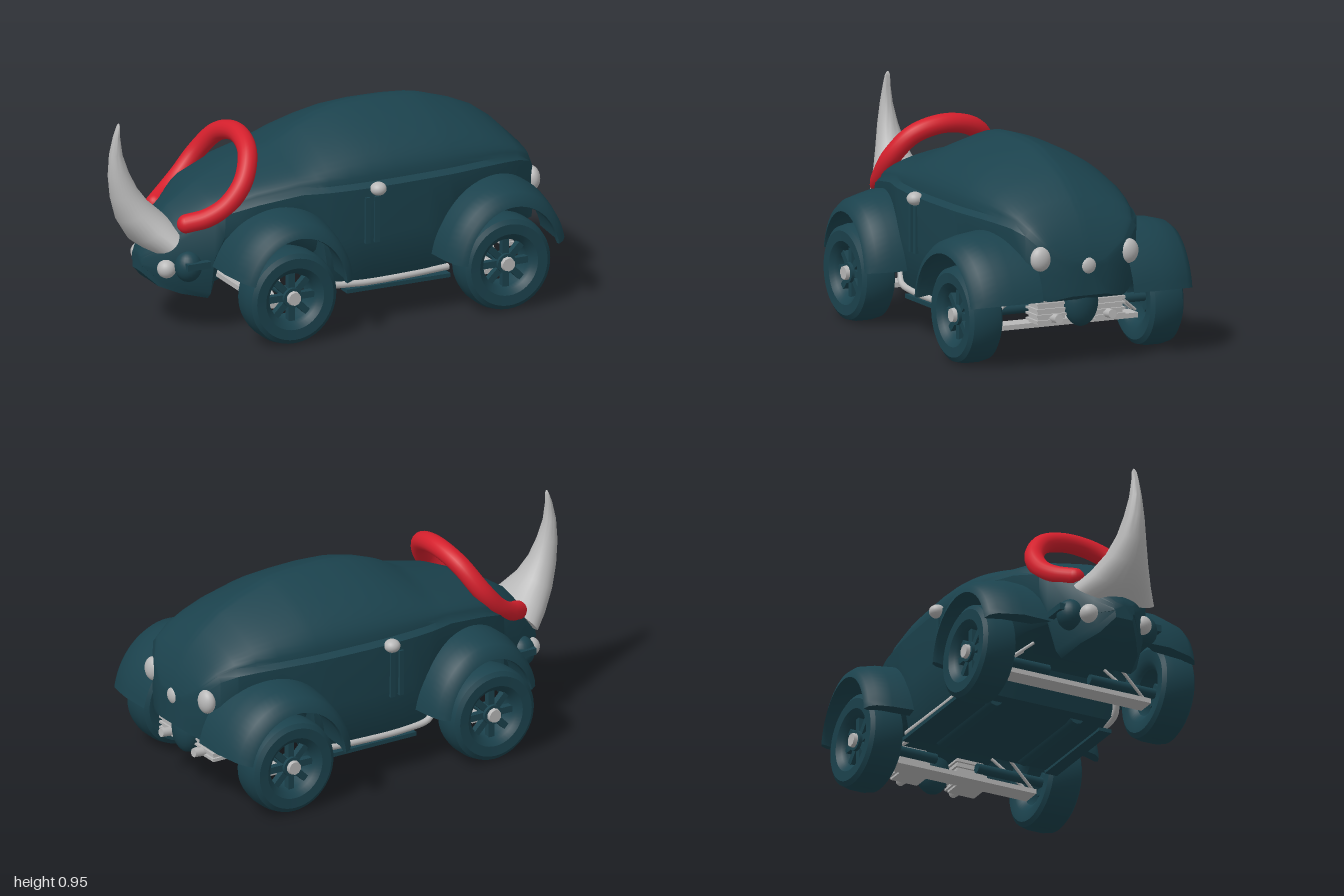
import * as THREE from 'three';
import { toCreasedNormals } from 'three/addons/utils/BufferGeometryUtils.js';

const teal = new THREE.MeshStandardMaterial({ color: 0x1b424d, side: THREE.DoubleSide });
teal.name = 'dark teal';
const grey = new THREE.MeshStandardMaterial({ color: 0xb8b8b8, side: THREE.DoubleSide });
grey.name = 'light grey';
const red = new THREE.MeshStandardMaterial({ color: 0xd41f2c });
red.name = 'red';

const V = (x, y, z) => new THREE.Vector3(x, y, z);

function add(parent, name, geo, mat, x = 0, y = 0, z = 0) {
  const m = new THREE.Mesh(geo, mat);
  m.name = name;
  m.position.set(x, y, z);
  parent.add(m);
  return m;
}

// Skins closed rings of points and closes both ends to their centres
function loft(rings, crease = 0.7) {
  const n = rings[0].length;
  const cap = (r) => {
    const c = V(0, 0, 0);
    r.forEach((p) => c.addScaledVector(p, 1 / n));
    return r.map(() => c);
  };
  const all = [cap(rings[0]), ...rings, cap(rings[rings.length - 1])];
  const idx = [];
  for (let i = 0; i < all.length - 1; i++) for (let j = 0; j < n; j++) {
    const a = i * n + j, b = i * n + (j + 1) % n;
    if (i > 0) idx.push(a, b, a + n);
    if (i < all.length - 2) idx.push(b, b + n, a + n);
  }
  const g = new THREE.BufferGeometry().setFromPoints(all.flat());
  g.setIndex(idx);
  return toCreasedNormals(g, crease);
}

function tube(points, r, seg = 40, sides = 14) {
  return new THREE.TubeGeometry(new THREE.CatmullRomCurve3(points), seg, r, sides);
}

function rod(parent, name, a, b, r, mat) {
  const d = b.clone().sub(a);
  const m = add(parent, name, new THREE.CylinderGeometry(r, r, d.length(), 12), mat);
  m.position.copy(a).addScaledVector(d, 0.5);
  m.quaternion.setFromUnitVectors(V(0, 1, 0), d.normalize());
}

// Body stations: x, roof height, belt height, belt half width, floor height, floor half width
const STATIONS = [
  [-0.86, 0.36, 0.33, 0.05, 0.27, 0.04], [-0.80, 0.46, 0.38, 0.12, 0.21, 0.09],
  [-0.72, 0.55, 0.46, 0.18, 0.18, 0.14], [-0.60, 0.63, 0.55, 0.24, 0.15, 0.17],
  [-0.56, 0.65, 0.57, 0.26, 0.33, 0.20], [-0.42, 0.71, 0.61, 0.31, 0.34, 0.24],
  [-0.23, 0.75, 0.64, 0.35, 0.34, 0.26], [-0.15, 0.79, 0.64, 0.37, 0.32, 0.28],
  [-0.10, 0.82, 0.64, 0.38, 0.17, 0.33], [0.00, 0.86, 0.64, 0.39, 0.16, 0.34],
  [0.10, 0.885, 0.64, 0.395, 0.16, 0.34], [0.22, 0.895, 0.64, 0.395, 0.16, 0.34],
  [0.36, 0.893, 0.64, 0.39, 0.16, 0.34], [0.46, 0.885, 0.64, 0.385, 0.16, 0.33],
  [0.51, 0.875, 0.64, 0.38, 0.32, 0.30], [0.65, 0.83, 0.64, 0.36, 0.34, 0.26],
  [0.75, 0.785, 0.635, 0.335, 0.34, 0.25], [0.84, 0.72, 0.625, 0.305, 0.32, 0.24],
  [0.91, 0.65, 0.60, 0.27, 0.30, 0.23], [0.96, 0.55, 0.53, 0.20, 0.29, 0.18],
  [0.99, 0.47, 0.46, 0.09, 0.31, 0.08],
];

function bodyRing([x, roof, belt, w, floor, fw]) {
  const ring = [];
  for (let i = 0; i <= 28; i++) {
    const a = (i / 28) * Math.PI, c = Math.cos(a);
    const z = 0.93 * w * Math.sign(c) * Math.abs(c) ** 1.65;
    ring.push(V(x, belt + (roof - belt) * Math.sin(a), z));
  }
  const mid = floor + (belt - floor) * 0.5;
  const side = [[w, belt - 0.02], [w * 0.99, mid], [fw + (w - fw) * 0.4, floor + 0.03], [fw, floor], [fw * 0.4, floor]];
  side.forEach(([z, y]) => ring.push(V(x, y, -z)));
  side.reverse().forEach(([z, y]) => ring.push(V(x, y, z)));
  return ring;
}

// Arched mudguard shell swept around the wheel axis between two angles;
// shift and toe move the outer lip
function fenderGeometry(rx, ry, shift, toe, from, to, s) {
  const profile = [[0.22, 1.0], [0.36, 1.01], [0.46, 0.975], [0.53, 0.92], [0.56, 0.85],
    [0.572, 0.76], [0.555, 0.75], [0.5, 0.81], [0.3, 0.85]];
  const rings = [];
  for (let i = 0; i <= 28; i++) {
    const a = from + (i / 28) * (to - from);
    rings.push(profile.map(([z, k]) => {
      const x = rx * k * Math.cos(a);
      return V(x, ry * k * Math.sin(a), s * (z + (z > 0.4 ? shift + toe * x : 0)));
    }));
  }
  return loft(rings, 0.8);
}

function makeWheel() {
  const wheel = new THREE.Group();
  wheel.name = 'wheel';
  const profile = [[0.112, -0.06], [0.14, -0.078], [0.185, -0.08], [0.205, -0.066], [0.213, -0.03],
    [0.213, 0.03], [0.205, 0.066], [0.185, 0.08], [0.14, 0.078], [0.118, 0.06], [0.106, 0.04],
    [0.104, -0.05], [0.112, -0.06]].map(([r, y]) => new THREE.Vector2(r, y));
  add(wheel, 'tyre', toCreasedNormals(new THREE.LatheGeometry(profile, 48).rotateX(Math.PI / 2), 0.6), teal);
  for (let i = 0; i < 8; i++) {
    const spoke = new THREE.BoxGeometry(0.075, 0.03, 0.03).translate(0.073, 0, 0.03);
    add(wheel, 'spoke', spoke.rotateZ((i * Math.PI) / 4), teal);
  }
  add(wheel, 'hub', new THREE.CylinderGeometry(0.045, 0.045, 0.06, 24).rotateX(Math.PI / 2), teal, 0, 0, 0.03);
  add(wheel, 'hubCap', new THREE.CylinderGeometry(0.03, 0.033, 0.02, 10).rotateX(Math.PI / 2), grey, 0, 0, 0.068);
  return wheel;
}

function ball(parent, name, mat, pos, size) {
  add(parent, name, new THREE.SphereGeometry(1, 24, 16), mat, ...pos).scale.set(...size);
}

export function createModel() {
  const car = new THREE.Group();
  car.name = 'hornedCar';

  add(car, 'body', loft(STATIONS.map(bodyRing)), teal);

  // Horn: x, y, in-plane radius, half width, tilt of the section
  const horn = [[-0.765, 0.42, 0.085, 0.195, -0.85], [-0.825, 0.47, 0.09, 0.145, -0.75],
    [-0.885, 0.545, 0.078, 0.098, -0.55], [-0.925, 0.63, 0.062, 0.066, -0.35],
    [-0.95, 0.72, 0.047, 0.045, -0.15], [-0.962, 0.81, 0.03, 0.028, 0.05],
    [-0.958, 0.89, 0.016, 0.017, 0.2], [-0.95, 0.935, 0.008, 0.012, 0.3], [-0.948, 0.95, 0.003, 0.004, 0.3]];
  add(car, 'horn', loft(horn.map(([x, y, r, w, t]) => Array.from({ length: 28 }, (_, i) => {
    const a = (i / 28) * Math.PI * 2, c = r * Math.cos(a);
    return V(x + c * Math.cos(t), y - c * Math.sin(t), w * Math.sin(a));
  })), 1.2), grey);

  // Hoop over the bonnet
  const half = [[-0.695, 0.50, 0.155], [-0.62, 0.53, 0.205], [-0.54, 0.585, 0.235],
    [-0.46, 0.68, 0.23], [-0.40, 0.785, 0.15]];
  const hoop = [...half.map((p) => V(...p)), V(-0.378, 0.825, 0),
    ...half.slice().reverse().map(([x, y, z]) => V(x, y, -z))];
  add(car, 'bullBar', tube(hoop, 0.043, 80, 18), red);
  [hoop[0], hoop[hoop.length - 1]].forEach((p) => ball(car, 'bullBarEnd', red, p.toArray(), [0.043, 0.043, 0.043]));

  // Wheels, fenders and suspension
  for (const s of [1, -1]) {
    for (const [x, rx, shift, toe, from, to] of [
      [-0.35, 0.29, -0.045, 0.05, 0.1, Math.PI - 0.25], [0.685, 0.305, -0.015, -0.08, 0.2, Math.PI - 0.1]]) {
      const wheel = makeWheel();
      wheel.position.set(x, 0.213, s * 0.44);
      if (s < 0) wheel.rotation.y = Math.PI;
      car.add(wheel);
      add(car, 'fender', fenderGeometry(rx, 0.34, shift, toe, from, to, s), teal, x + (x < 0 ? 0.025 : 0.005), 0.23, 0);
      rod(car, 'axle', V(x, 0.213, s * 0.1), V(x, 0.213, s * 0.42), 0.022, teal);
      for (const dx of [-0.05, 0.05])
        rod(car, 'strut', V(x + dx, 0.3, s * 0.2), V(x + dx * 0.3, 0.16, s * 0.37), 0.007, grey);
    }

    // Sill pipes on dark boards, and underfloor tubes
    add(car, 'sillPipe', tube([V(-0.15, 0.26, s * 0.34), V(-0.11, 0.2, s * 0.355), V(0.02, 0.182, s * 0.36),
      V(0.25, 0.182, s * 0.36), V(0.47, 0.19, s * 0.355)], 0.015), grey);
    add(car, 'sillBoard', new THREE.BoxGeometry(0.5, 0.018, 0.06), teal, 0.22, 0.157, s * 0.35);
    rod(car, 'floorTube', V(-0.05, 0.18, s * 0.2), V(0.44, 0.18, s * 0.2), 0.035, teal);

    // Mirrors and door handles
    ball(car, 'mirror', grey, [0.11, 0.615, s * 0.402], [0.036, 0.03, 0.036]);
    for (const x of [0.06, 0.105])
      add(car, 'doorRib', new THREE.BoxGeometry(0.022, 0.21, 0.03), teal, x, 0.475, s * 0.388);

    // Lamps
    ball(car, 'headlampHousing', teal, [-0.70, 0.315, s * 0.18], [0.06, 0.07, 0.06]);
    ball(car, 'headlamp', grey, [-0.78, 0.3, s * 0.13], [0.042, 0.042, 0.042]);
    add(car, 'noseBracket', new THREE.BoxGeometry(0.11, 0.03, 0.03), teal, -0.68, 0.33, s * 0.235);
    ball(car, 'tailLamp', grey, [0.945, 0.48, s * 0.212], [0.035, 0.055, 0.048]);

    // Engine blocks with cooling ribs, and exhausts
    add(car, 'engineBlock', new THREE.BoxGeometry(0.09, 0.13, 0.13), grey, 0.86, 0.245, s * 0.14);
    for (let i = 0; i < 5; i++)
      add(car, 'engineRib', new THREE.BoxGeometry(0.11, 0.01, 0.15), grey, 0.86, 0.195 + i * 0.025, s * 0.14);
    rod(car, 'exhaust', V(0.85, 0.2, s * 0.13), V(0.96, 0.21, s * 0.13), 0.02, grey);
  }
  for (const x of [-0.37, 0.685])
    add(car, 'axleBeam', new THREE.BoxGeometry(0.09, 0.022, 0.74), grey, x, 0.142, 0);

  ball(car, 'rearLamp', grey, [0.977, 0.44, 0], [0.025, 0.04, 0.04]);
  ball(car, 'rearTongue', teal, [0.91, 0.27, 0], [0.06, 0.11, 0.08]);
  return car;
}
